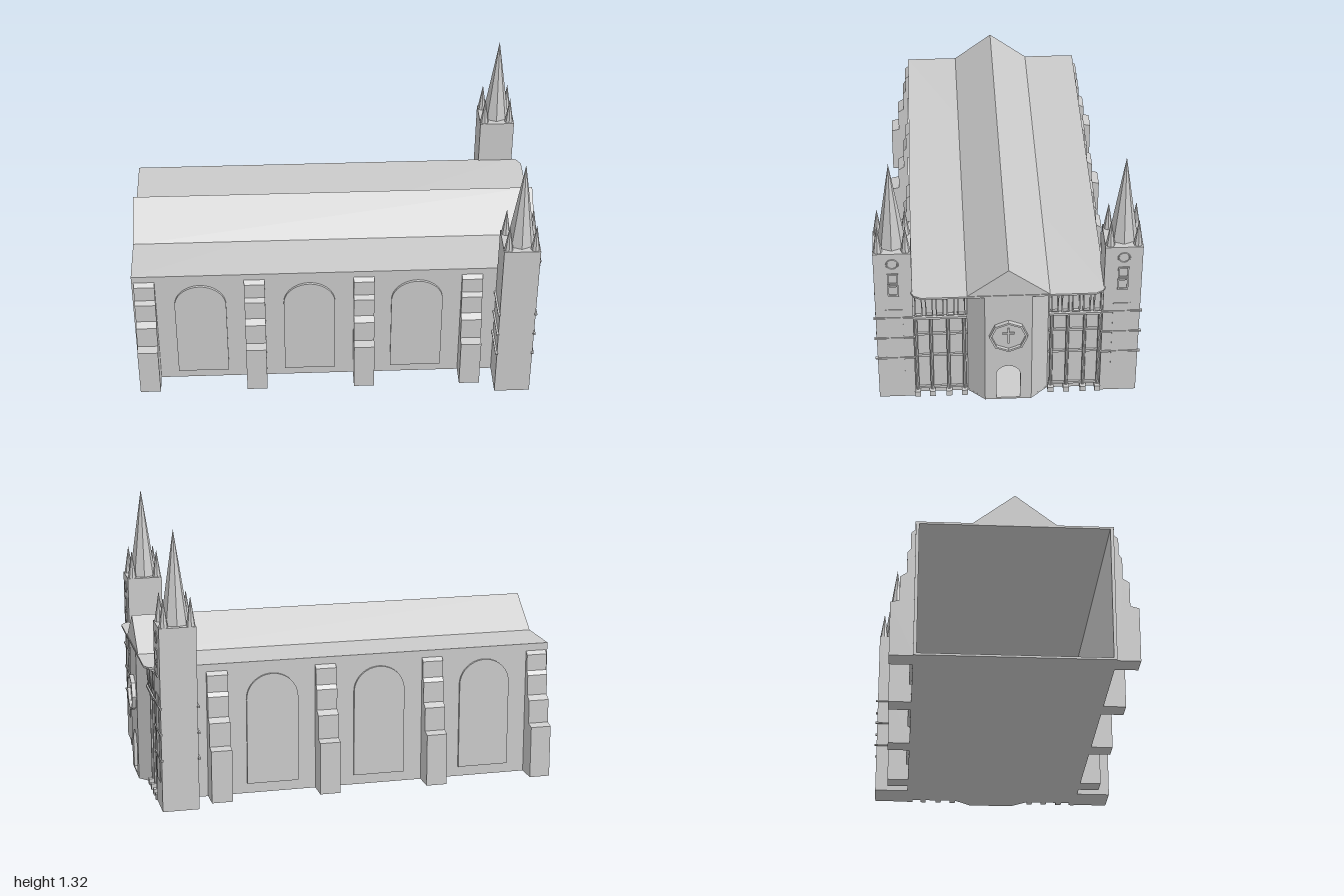
import * as THREE from 'three';

const mat = new THREE.MeshStandardMaterial({ color: 0xcccccc, flatShading: true, side: THREE.DoubleSide });

function add(parent, name, geometry, x = 0, y = 0, z = 0) {
  const mesh = new THREE.Mesh(geometry, mat);
  mesh.name = name;
  mesh.position.set(x, y, z);
  parent.add(mesh);
  return mesh;
}

// Box given by its limits on each axis
function block(parent, name, x0, x1, y0, y1, z0, z1) {
  return add(parent, name, new THREE.BoxGeometry(x1 - x0, y1 - y0, z1 - z0),
    (x0 + x1) / 2, (y0 + y1) / 2, (z0 + z1) / 2);
}

const extrude = (shape, depth) =>
  new THREE.ExtrudeGeometry(shape, { depth, bevelEnabled: false, curveSegments: 12 });
const polygon = (pts) => new THREE.Shape(pts.map(([x, y]) => new THREE.Vector2(x, y)));

// Round-headed outline centred on u = 0
function arch(half, y0, spring, rise) {
  const s = new THREE.Shape();
  s.moveTo(-half, y0);
  s.lineTo(half, y0);
  s.lineTo(half, spring);
  s.absellipse(0, spring, half, rise, 0, Math.PI, false);
  s.lineTo(-half, y0);
  return s;
}

function rectangle(w, h) {
  return polygon([[-w / 2, -h / 2], [w / 2, -h / 2], [w / 2, h / 2], [-w / 2, h / 2]]);
}

function frame(w, h, t, depth) {
  const s = rectangle(w, h);
  s.holes.push(rectangle(w - 2 * t, h - 2 * t));
  return extrude(s, depth).rotateY(Math.PI / 2);
}

// Extruded plan outline: points are [x, z], from y0 to y1
function planSlab(parent, name, pts, y0, y1) {
  const g = extrude(polygon(pts.map(([x, z]) => [x, -z])), y1 - y0).rotateX(-Math.PI / 2);
  return add(parent, name, g, 0, y0, 0);
}

// One long side: wall, arched windows and stepped buttresses
function buildSide() {
  const side = new THREE.Group();
  block(side, 'sideWall', -1, 0.92, 0, 0.645, 0.43, 0.445);
  for (const x of [-0.675, -0.145, 0.38]) {
    add(side, 'archedWindow', extrude(arch(0.125, 0.05, 0.47, 0.12), 0.012), x, 0, 0.445);
  }
  const profile = polygon([[0.44, 0], [0.55, 0], [0.55, 0.255], [0.51, 0.265], [0.51, 0.38],
    [0.48, 0.4], [0.48, 0.5], [0.465, 0.52], [0.465, 0.6], [0.44, 0.62]]);
  for (const x of [-0.94, -0.41, 0.12, 0.645]) {
    add(side, 'buttress', extrude(profile, 0.1).rotateY(-Math.PI / 2), x + 0.05, 0, 0);
  }
  return side;
}

function buildTower() {
  const tower = new THREE.Group();
  const cx = 0.85, cz = 0.527;
  block(tower, 'towerShaft', 0.765, 0.938, 0, 0.88, 0.44, 0.613);
  const spire = (name, r, h, n, x, z) =>
    add(tower, name, new THREE.ConeGeometry(r, h, n), x, 0.88 + h / 2, z);
  spire('spire', 0.066, 0.44, 8, cx, cz);
  for (const sx of [-1, 1]) {
    for (const sz of [-1, 1]) spire('pinnacle', 0.022, 0.14, 8, cx + sx * 0.063, cz + sz * 0.063);
    // String courses on the front and rear faces
    for (const y of [0.25, 0.375, 0.5]) {
      const x = cx + sx * 0.088;
      block(tower, 'stringCourse', x - 0.006, x + 0.006, y - 0.004, y + 0.004, 0.433, 0.623);
    }
  }
  // Face panel, belfry windows and round opening
  block(tower, 'facePanel', 0.935, 0.941, 0.13, 0.55, 0.487, 0.567);
  for (const y of [0.665, 0.735]) add(tower, 'belfryWindow', frame(0.05, 0.062, 0.007, 0.006), 0.937, y, cz);
  add(tower, 'roundWindow', new THREE.TorusGeometry(0.026, 0.004, 6, 20).rotateY(Math.PI / 2), 0.939, 0.82, cz);
  return tower;
}

// Recessed bay between the tower and the entrance
function buildBay() {
  const bay = new THREE.Group();
  block(bay, 'bayWall', 0.895, 0.91, 0, 0.645, 0.18, 0.445);
  for (const z of [0.43, 0.36, 0.28, 0.205]) {
    add(bay, 'column', new THREE.CylinderGeometry(0.008, 0.008, 0.5, 8), 0.922, 0.25, z);
    block(bay, 'columnFoot', 0.905, 0.945, 0, 0.03, z - 0.014, z + 0.014);
  }
  for (const y of [0.035, 0.24, 0.375]) block(bay, 'bayRail', 0.905, 0.92, y - 0.006, y + 0.006, 0.19, 0.44);
  // Upper gallery of framed openings
  block(bay, 'galleryBack', 0.905, 0.928, 0.5, 0.64, 0.19, 0.44);
  block(bay, 'gallerySill', 0.905, 0.945, 0.488, 0.5, 0.19, 0.44);
  for (let i = 0; i < 5; i++) {
    add(bay, 'galleryFrame', frame(0.037, 0.115, 0.006, 0.014), 0.927, 0.564, 0.217 + i * 0.0495);
  }
  // Sloping cornice under the roof edge
  const cornice = polygon([[0.905, 0.625], [0.935, 0.625], [0.975, 0.645], [0.905, 0.645]]);
  add(bay, 'cornice', extrude(cornice, 0.25), 0, 0, 0.18);
  // Slanted cheek of the entrance
  planSlab(bay, 'entranceCheek', [[0.98, 0.11], [0.905, 0.195], [0.89, 0.185], [0.96, 0.105]], 0, 0.64);
  return bay;
}

// Same part on the other side of the centre line, with outward-facing triangles
function mirrored(build) {
  const g = build();
  g.traverse((o) => {
    if (!o.isMesh) return;
    o.geometry.translate(o.position.x, o.position.y, o.position.z).scale(1, 1, -1);
    o.position.set(0, 0, 0);
    const geo = o.geometry.index ? o.geometry.toNonIndexed() : o.geometry;
    for (const a of Object.values(geo.attributes)) {
      const n = a.itemSize;
      for (let i = 0; i < a.count; i += 3) {
        for (let k = 0; k < n; k++) {
          const p = (i + 1) * n + k, q = (i + 2) * n + k;
          [a.array[p], a.array[q]] = [a.array[q], a.array[p]];
        }
      }
    }
    geo.computeVertexNormals();
    o.geometry = geo;
  });
  return g;
}

function buildEntrance() {
  const entrance = new THREE.Group();
  // Front wall with open doorway
  const wall = polygon([[-0.11, 0], [0.11, 0], [0.11, 0.645], [-0.11, 0.645]]);
  wall.holes.push(arch(0.057, 0.01, 0.157, 0.057));
  add(entrance, 'entranceWall', extrude(wall, 0.02).rotateY(Math.PI / 2), 0.96, 0, 0);
  // Octagonal window with a cross
  const octagon = (r) => Array.from({ length: 8 }, (_, i) =>
    [r * Math.sin(i * Math.PI / 4), r * Math.cos(i * Math.PI / 4)]);
  const ring = polygon(octagon(0.09));
  ring.holes.push(polygon(octagon(0.08)));
  add(entrance, 'roseRing', extrude(ring, 0.022).rotateY(Math.PI / 2), 0.978, 0.41, 0);
  add(entrance, 'rosePane', extrude(polygon(octagon(0.082)), 0.007).rotateY(Math.PI / 2), 0.978, 0.41, 0);
  block(entrance, 'crossUpright', 0.984, 0.99, 0.365, 0.455, -0.005, 0.005);
  block(entrance, 'crossArm', 0.984, 0.99, 0.42, 0.43, -0.028, 0.028);
  return entrance;
}

export function createModel() {
  const model = new THREE.Group();
  model.name = 'church';
  const parts = { side: buildSide, tower: buildTower, bay: buildBay };
  for (const [name, build] of Object.entries(parts)) {
    const left = build(), right = mirrored(build);
    left.name = name + 'South';
    right.name = name + 'North';
    model.add(left, right);
  }
  const entrance = buildEntrance();
  entrance.name = 'entrance';
  model.add(entrance);

  // Floor follows the stepped front; the rear end is open
  planSlab(model, 'floor', [[-1, 0.445], [0.91, 0.445], [0.91, 0.19], [0.98, 0.11],
    [0.98, -0.11], [0.91, -0.19], [0.91, -0.445], [-1, -0.445]], 0, 0.01);
  // Flat roof with cut front corners, and the raised gable along the middle
  planSlab(model, 'flatRoof', [[-1, 0.447], [0.94, 0.447], [0.965, 0.435], [0.983, 0.4],
    [0.983, -0.4], [0.965, -0.435], [0.94, -0.447], [-1, -0.447]], 0.642, 0.652);
  const gable = polygon([[-0.193, 0.65], [0.193, 0.65], [0, 0.798]]);
  add(model, 'gableRoof', extrude(gable, 1.98).rotateY(Math.PI / 2), -1, 0, 0);
  return model;
}
